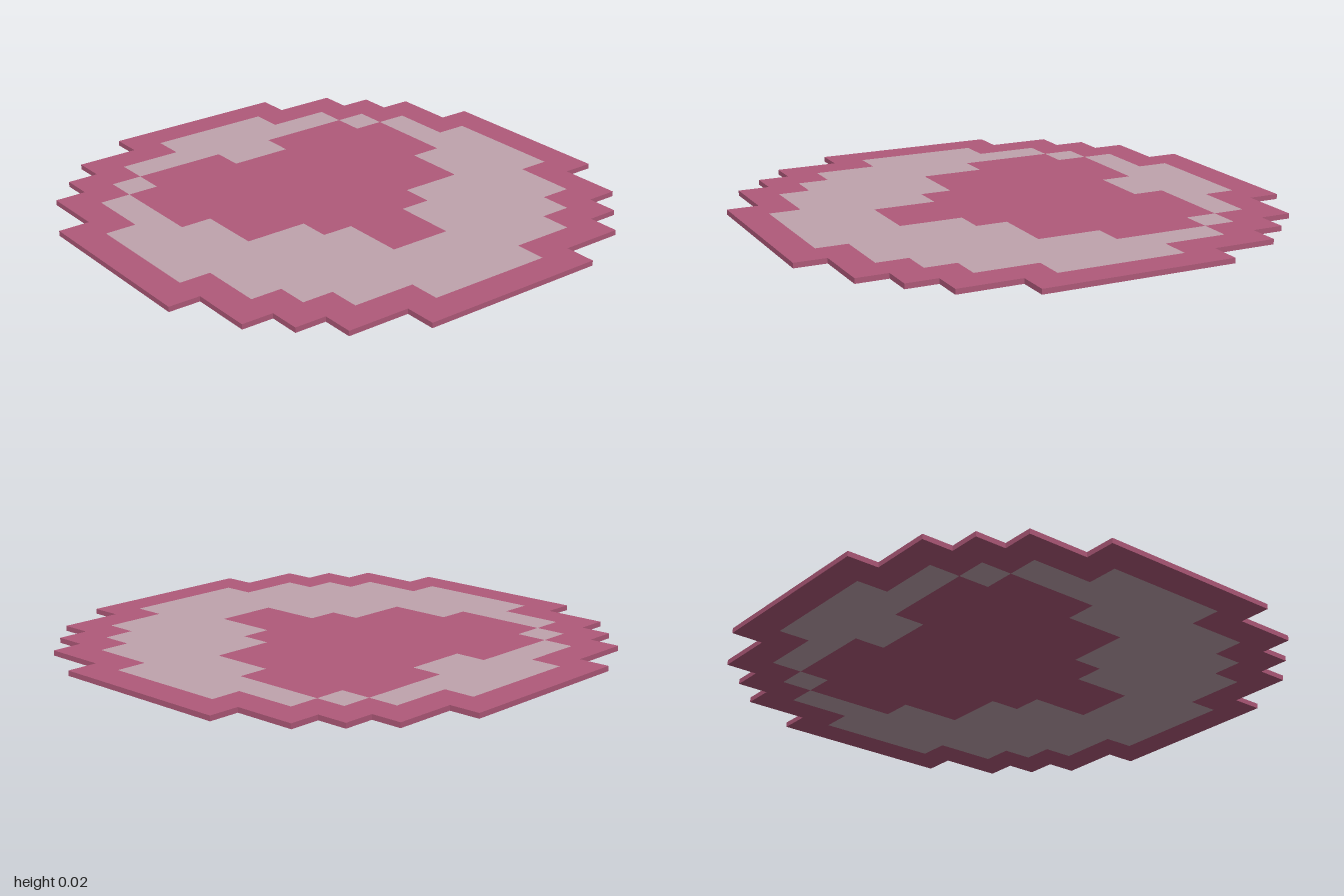
import * as THREE from 'three';
import { mergeGeometries } from 'three/addons/utils/BufferGeometryUtils.js';

const CELL = 0.125;
const THICK = 0.02;

// Right half of each row, from the centre outwards, back row first.
// R = rim, F = field, H = heart, . = empty
const ROWS = [
  'RRR.....',
  'FFRRR...',
  'FFFFRR..',
  'FHHHFRR.',
  'HHHHHFR.',
  'HHHHHFRR',
  'HHHHHFFR',
  'HHHHFFFR',
  'HHHHFFFR',
  'HHFFFFFR',
  'HFFFFFRR',
  'HFFFFFR.',
  'FFFFFRR.',
  'FFFFRR..',
  'FFRRR...',
  'RRR.....',
];

const PARTS = {
  R: { name: 'rim', color: 0xb05a7a },
  F: { name: 'field', color: 0xbfa3ad },
  H: { name: 'heart', color: 0xb05a7a },
};

// Mirrored lookup: columns 0..15 run from -x to +x
function cellAt(col, row) {
  if (row < 0 || row > 15 || col < 0 || col > 15) return '.';
  return ROWS[row][col < 8 ? 7 - col : col - 8];
}

export function createModel() {
  const group = new THREE.Group();
  group.name = 'heartDisc';
  const faces = { R: [], F: [], H: [] };

  for (let row = 0; row < 16; row++) {
    for (let col = 0; col < 16; col++) {
      const kind = cellAt(col, row);
      if (kind === '.') continue;
      const x = (col - 7.5) * CELL;
      const z = (row - 7.5) * CELL;

      // Top and bottom of the cell
      faces[kind].push(
        new THREE.PlaneGeometry(CELL, CELL).rotateX(-Math.PI / 2).translate(x, THICK, z),
        new THREE.PlaneGeometry(CELL, CELL).rotateX(Math.PI / 2).translate(x, 0, z),
      );

      // Side walls only along the stepped outer edge
      for (const [dx, dz] of [[0, 1], [1, 0], [0, -1], [-1, 0]]) {
        if (cellAt(col + dx, row + dz) !== '.') continue;
        faces[kind].push(
          new THREE.PlaneGeometry(CELL, THICK)
            .rotateY(Math.atan2(dx, dz))
            .translate(x + dx * CELL / 2, THICK / 2, z + dz * CELL / 2),
        );
      }
    }
  }

  for (const [kind, { name, color }] of Object.entries(PARTS)) {
    const material = new THREE.MeshStandardMaterial({ color });
    const mesh = new THREE.Mesh(mergeGeometries(faces[kind]), material);
    mesh.name = name;
    group.add(mesh);
  }
  return group;
}
